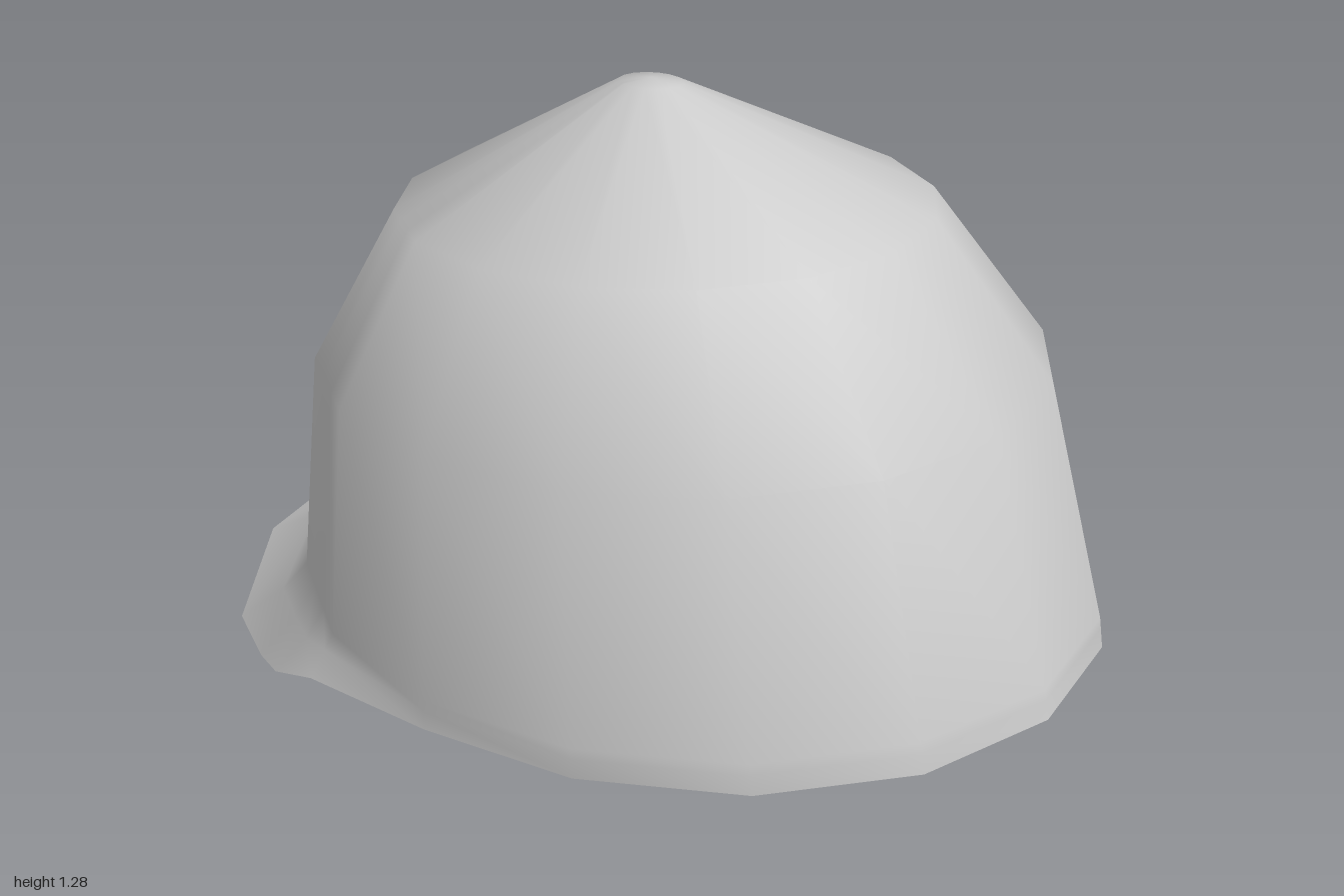
import * as THREE from 'three';

// columns of one half, in steps of 22.5 degrees from back (0) to front (8);
// two extra columns sit where the brim meets the side
const HALF = [0, 1, 2, 2.33, 2.66, 3, 4, 5, 6, 7, 8];

// tilted elliptical section: half width, depth centre, half depth, height, tilt
const RINGS = [
  [0.05, 0.01, 0.07, 1.27, 0.005],
  [0.47, 0.035, 0.565, 1.04, 0.055],
  [0.65, 0.07, 0.78, 0.74, 0.078],
  [0.722, 0.12, 0.868, 0.28, 0.08],
];

// open lower edge from the back of the brim round to the front
const RIM = [
  [0, 0.045, -1], [0.28, 0.03, -0.93], [0.53, 0, -0.72], [0.62, 0.03, -0.53],
  [0.688, 0.09, -0.385], [0.715, 0.16, -0.23], [0.722, 0.215, 0.12],
  [0.667, 0.248, 0.456], [0.511, 0.275, 0.742], [0.276, 0.293, 0.933], [0, 0.3, 1],
].map((p) => new THREE.Vector3(...p));

function corner([rx, cz, rz, y, tilt], k) {
  const a = (k * Math.PI) / 8;
  return new THREE.Vector3(rx * Math.sin(a), y - tilt * Math.cos(a), cz - rz * Math.cos(a));
}

// point on the straight-sided ring
function onRing(ring, k) {
  const i = Math.floor(k);
  return corner(ring, i).lerp(corner(ring, i + 1), k - i);
}

// complete a half row by mirroring in x
function mirrorRow(half) {
  const other = half.slice(1, -1).reverse().map((p) => new THREE.Vector3(-p.x, p.y, p.z));
  return [...half, ...other];
}

function shellGeometry() {
  const rows = RINGS.map((ring) => HALF.map((k) => onRing(ring, k)));
  // middle row gives the brim its hollow flare
  const neck = rows[3];
  rows.push(neck.map((p, i) => {
    const m = p.clone().lerp(RIM[i], 0.36);
    if (i < 5) m.y -= 0.015;
    return m;
  }));
  rows.push(RIM);

  const full = rows.map(mirrorRow);
  const n = full[0].length;
  const points = [new THREE.Vector3(0, 1.277, 0.01), ...full.flat()];
  const index = [];
  for (let c = 0; c < n; c++) {
    const d = (c + 1) % n;
    index.push(0, 1 + d, 1 + c);
    for (let r = 0; r < full.length - 1; r++) {
      const a = 1 + r * n, b = a + n;
      index.push(a + c, a + d, b + c, a + d, b + d, b + c);
    }
  }
  const g = new THREE.BufferGeometry().setFromPoints(points);
  g.setIndex(index);
  g.computeVertexNormals();
  return g;
}

export function createModel() {
  const group = new THREE.Group();
  group.name = 'helmet';
  const shell = new THREE.Mesh(
    shellGeometry(),
    new THREE.MeshStandardMaterial({ color: 0xcccccc, side: THREE.DoubleSide }),
  );
  shell.name = 'helmetShellWithBrim';
  group.add(shell);
  return group;
}
